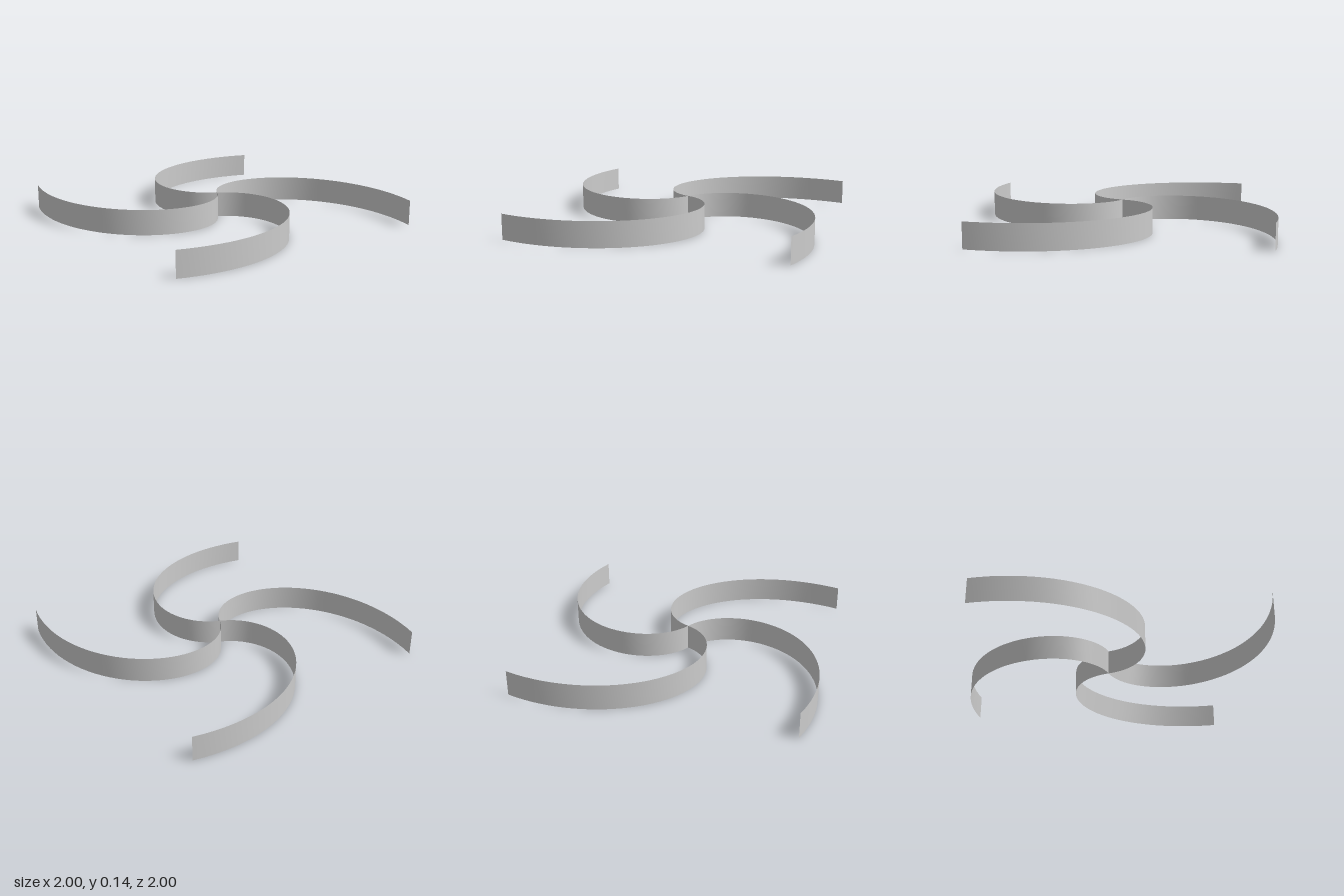
import * as THREE from 'three';

const HEIGHT = 0.139;
const RADIUS = 1.0755;
const START = THREE.MathUtils.degToRad(-88.5); // heading at the hub
const SWEEP = THREE.MathUtils.degToRad(110.1); // turn from hub to tip
const BLADES = 4;

// One thin upright blade: a plane bent along an even spiral
function bladeGeometry() {
  const geo = new THREE.PlaneGeometry(1, HEIGHT, 40, 1);
  const pos = geo.attributes.position;
  for (let i = 0; i < pos.count; i++) {
    const t = pos.getX(i) + 0.5;
    const angle = START + SWEEP * t;
    const r = RADIUS * t;
    pos.setXYZ(i, r * Math.cos(angle), pos.getY(i) + HEIGHT / 2, r * Math.sin(angle));
  }
  geo.computeVertexNormals();
  return geo;
}

export function createModel() {
  const group = new THREE.Group();
  group.name = 'spiralRotor';
  const material = new THREE.MeshStandardMaterial({ color: 0xcccccc, side: THREE.DoubleSide });
  const geo = bladeGeometry();

  // Equal blades joined along the central axis
  for (let i = 0; i < BLADES; i++) {
    const blade = new THREE.Mesh(geo, material);
    blade.name = `blade${i + 1}`;
    blade.rotation.y = (i * Math.PI * 2) / BLADES;
    group.add(blade);
  }
  return group;
}
